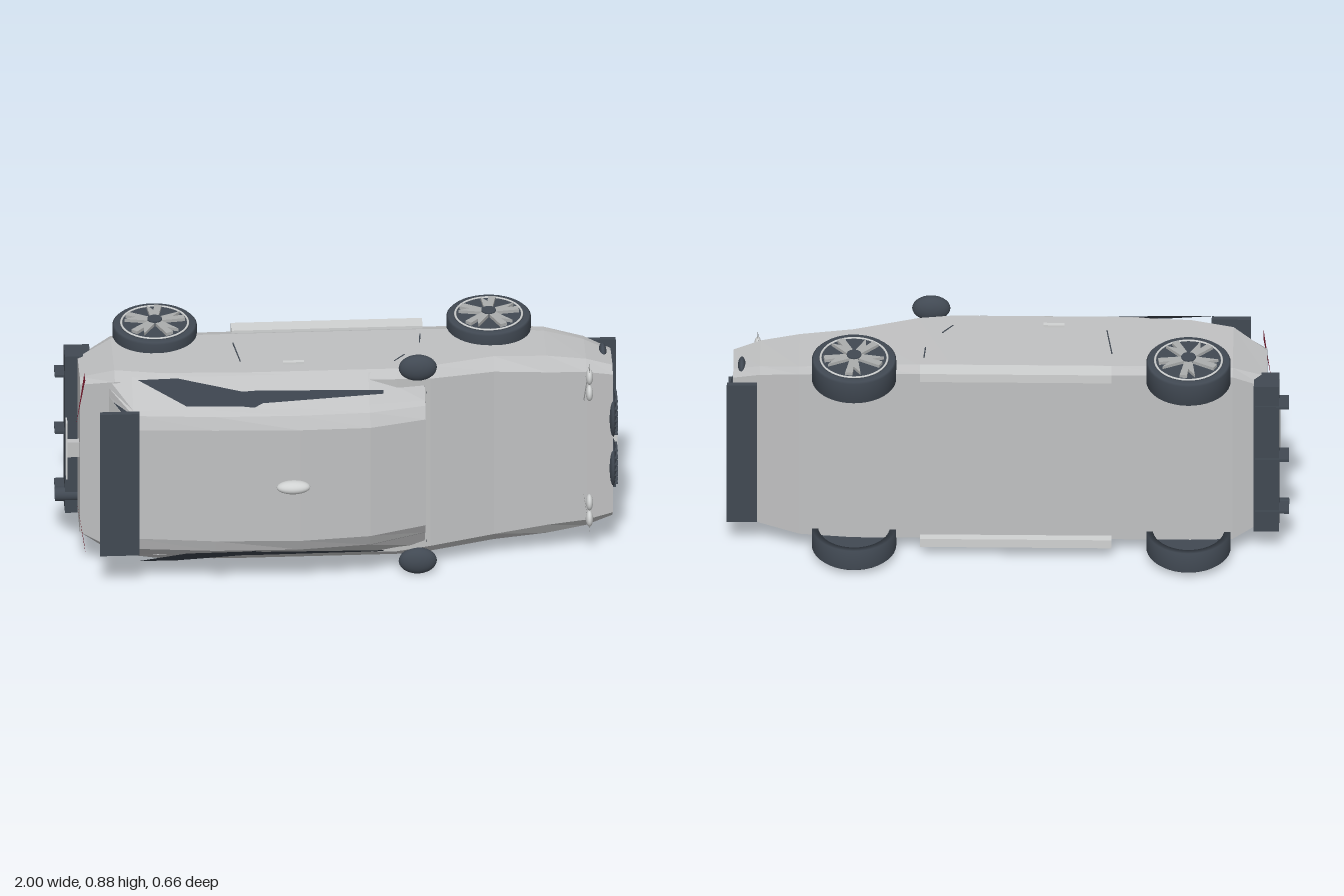
import * as THREE from 'three';

const mat = (name, color, extra = {}) => Object.assign(new THREE.MeshStandardMaterial({ color, ...extra }), { name });

// Loft along x from half sections [halfWidth, z], listed bottom to top and mirrored in y
function loft(stations) {
  const rings = stations.map(([x, pts]) => [
    ...pts.map(([w, z]) => [x, w, z]),
    ...pts.slice().reverse().map(([w, z]) => [x, -w, z]),
  ]);
  const n = rings[0].length, pos = [], idx = [];
  rings.forEach(r => r.forEach(p => pos.push(...p)));
  for (let i = 0; i < rings.length - 1; i++) {
    for (let j = 0; j < n; j++) {
      const a = i * n + j, a1 = i * n + (j + 1) % n;
      idx.push(a, a1, a1 + n, a, a1 + n, a + n);
    }
  }
  const last = (rings.length - 1) * n;
  for (let j = 1; j < n - 1; j++) {
    idx.push(0, j + 1, j);
    idx.push(last, last + j, last + j + 1);
  }
  const g = new THREE.BufferGeometry();
  g.setAttribute('position', new THREE.Float32BufferAttribute(pos, 3));
  g.setIndex(idx);
  const flat = g.toNonIndexed();
  flat.computeVertexNormals();
  return flat;
}

// Flat polygon through 3D points
function plate(points, outline) {
  const g = new THREE.BufferGeometry().setFromPoints(points.map(p => new THREE.Vector3(...p)));
  g.setIndex(THREE.ShapeUtils.triangulateShape(outline.map(p => new THREE.Vector2(...p)), []).flat());
  const flat = g.toNonIndexed();
  flat.computeVertexNormals();
  return flat;
}

export function createModel() {
  const paint = mat('body paint', 0xc0c1c2, { flatShading: true });
  const light = mat('light trim', 0xd0d2d2);
  const alloy = mat('wheel alloy', 0xabadad);
  const dark = mat('dark trim', 0x414953);
  const glass = mat('dark glass', 0x3a414b, { side: THREE.DoubleSide });
  const tyreMat = mat('tyre rubber', 0x414953, { side: THREE.DoubleSide });
  const red = mat('tail red', 0x8c2238, { side: THREE.DoubleSide });

  // The car lies on its side: nose +x, roof +z, width along y
  const car = new THREE.Group();
  car.name = 'car';
  car.position.y = 0.447;
  const add = (name, geo, m, x = 0, y = 0, z = 0, parent = car) => {
    const mesh = new THREE.Mesh(geo, m);
    mesh.name = name;
    mesh.position.set(x, y, z);
    parent.add(mesh);
    return mesh;
  };
  // Box from its limits
  const box = (name, m, x0, x1, y0, y1, z0, z1) =>
    add(name, new THREE.BoxGeometry(x1 - x0, y1 - y0, z1 - z0), m, (x0 + x1) / 2, (y0 + y1) / 2, (z0 + z1) / 2);
  const ellipsoid = (name, m, x, y, z, rx, ry, rz) =>
    add(name, new THREE.SphereGeometry(1, 24, 16), m, x, y, z).scale.set(rx, ry, rz);

  // Lower body: x, floor half width, floor z, side half width, shoulder z, deck half width, deck z
  const body = [
    [-0.92, 0.29, -0.17, 0.315, 0.02, 0.30, 0.05],
    [-0.80, 0.355, -0.20, 0.372, 0.08, 0.34, 0.11],
    [-0.65, 0.36, -0.20, 0.376, 0.115, 0.35, 0.14],
    [-0.35, 0.36, -0.20, 0.377, 0.13, 0.35, 0.152],
    [0.20, 0.36, -0.20, 0.377, 0.13, 0.35, 0.16],
    [0.32, 0.36, -0.20, 0.376, 0.115, 0.34, 0.145],
    [0.55, 0.36, -0.20, 0.372, 0.05, 0.33, 0.088],
    [0.74, 0.35, -0.195, 0.36, 0.035, 0.31, 0.067],
    [0.88, 0.325, -0.165, 0.338, 0.025, 0.30, 0.055],
    [0.975, 0.29, -0.135, 0.305, 0.015, 0.28, 0.042],
  ];
  add('body', loft(body.map(([x, wf, zf, ws, zs, wd, zd]) =>
    [x, [[wf, zf], [ws - 0.004, zf + 0.04], [ws, zs], [wd, zd]]])), paint);

  // Cabin and roof
  add('cabin', loft([
    [-0.82, [[0.34, 0.09], [0.31, 0.10], [0.28, 0.105], [0.22, 0.11]]],
    [-0.74, [[0.36, 0.11], [0.28, 0.215], [0.27, 0.235], [0.22, 0.25]]],
    [-0.45, [[0.37, 0.14], [0.285, 0.235], [0.272, 0.262], [0.225, 0.277]]],
    [-0.15, [[0.37, 0.14], [0.285, 0.235], [0.272, 0.268], [0.225, 0.29]]],
    [0.10, [[0.37, 0.14], [0.285, 0.225], [0.268, 0.252], [0.22, 0.277]]],
    [0.30, [[0.345, 0.13], [0.268, 0.175], [0.257, 0.192], [0.215, 0.217]]],
  ]), paint);
  ellipsoid('roofAntenna', light, -0.175, 0, 0.3, 0.06, 0.024, 0.03);

  // Rear wing
  box('rearWing', dark, -0.86, -0.72, -0.285, 0.29, 0.237, 0.257);

  // Nose fittings
  box('splitter', dark, 0.89, 0.997, -0.3, 0.3, -0.196, -0.178);
  box('lowerIntake', dark, 0.94, 0.984, -0.165, 0.172, -0.153, -0.09);
  box('frontPlate', light, 0.97, 0.995, -0.112, 0.118, -0.08, -0.027);

  // Rear fittings
  box('rearBumper', dark, -0.965, -0.875, -0.315, 0.32, -0.208, -0.12);
  box('rearPlate', light, -0.967, -0.962, -0.115, 0.113, -0.05, -0.004);
  box('rearPlateMount', paint, -0.962, -0.91, -0.03, 0.03, -0.04, -0.014);
  for (const y of [-0.228, 0, 0.23]) box('diffuserFin', dark, -1.0, -0.88, y - 0.005, y + 0.005, -0.213, -0.14);
  const pipe = add('exhaust', new THREE.CylinderGeometry(0.026, 0.026, 0.09, 20, 1, true), tyreMat, -0.955, -0.247, -0.14);
  pipe.rotation.z = Math.PI / 2;

  // One wheel, outer face along local +y
  const tyreGeo = new THREE.LatheGeometry(
    [[0.122, 0.043], [0.144, 0.043], [0.15, 0.037], [0.15, -0.045], [0.128, -0.045], [0.122, 0.043]]
      .map(p => new THREE.Vector2(...p)), 40);
  const spokeShape = new THREE.Shape([[-0.014, 0.02], [0.014, 0.02], [0.03, 0.104], [0.004, 0.108], [0, 0.07], [-0.024, 0.104]]
    .map(p => new THREE.Vector2(...p)));
  const spokeGeo = new THREE.ExtrudeGeometry(spokeShape, { depth: 0.012, bevelEnabled: false });
  spokeGeo.rotateX(-Math.PI / 2);
  const makeWheel = () => {
    const w = new THREE.Group();
    w.name = 'wheel';
    add('tyre', tyreGeo, tyreMat, 0, 0, 0, w);
    add('wheelDisc', new THREE.CylinderGeometry(0.124, 0.124, 0.02, 40), dark, 0, 0.036, 0, w);
    add('rimRing', new THREE.TorusGeometry(0.119, 0.004, 6, 40), light, 0, 0.046, 0, w).rotation.x = Math.PI / 2;
    for (let i = 0; i < 5; i++) add('spoke', spokeGeo, alloy, 0, 0.046, 0, w).rotation.y = i * Math.PI * 0.4;
    add('hub', new THREE.CylinderGeometry(0.026, 0.026, 0.022, 20), dark, 0, 0.052, 0, w);
    return w;
  };

  // Side window outline as [x, z], laid on the cabin slope
  const pane = [[-0.72, 0.15], [-0.58, 0.148], [-0.35, 0.19], [-0.3, 0.188], [0.15, 0.195],
    [0.15, 0.206], [-0.28, 0.224], [-0.31, 0.236], [-0.35, 0.232], [-0.55, 0.228]];
  const lamp = [[0.15, 0.068], [0.345, 0.05], [0.35, 0.11], [0.32, 0.1]];

  for (const s of [1, -1]) {
    const sideBox = (name, m, x0, x1, w0, w1, z0, z1) =>
      box(name, m, x0, x1, Math.min(s * w0, s * w1), Math.max(s * w0, s * w1), z0, z1);

    for (const x of [-0.643, 0.545]) {
      const w = makeWheel();
      w.position.set(x, s * 0.37, -0.182);
      if (s < 0) w.rotation.x = Math.PI;
      car.add(w);
    }
    sideBox('sideSkirt', light, -0.37, 0.31, 0.345, 0.38, -0.228, -0.17);
    sideBox('doorHandle', light, -0.2, -0.125, 0.37, 0.385, 0.065, 0.08);
    ellipsoid('doorMirror', dark, 0.275, s * 0.392, 0.155, 0.068, 0.05, 0.032);

    // Door seams
    for (const [x, z, tilt, len] of [[-0.36, -0.02, -0.14, 0.14], [0.295, -0.09, 0.08, 0.06], [0.215, 0.05, 0.7, 0.06]]) {
      add('doorSeam', new THREE.BoxGeometry(0.004, 0.006, len), dark, x, s * 0.3745, z).rotation.y = -tilt;
    }

    // Glass and windscreen corners
    add('sideWindow', plate(pane.map(([x, z]) => [x, s * (0.377 - (z - 0.14) * 0.89), z]), pane), glass);
    const corner = [[0.25, 0.2], [0.275, 0.2], [0.325, 0.16]];
    add('windscreenCorner', plate(corner.map(([w, z]) => [0.304, s * w, z]), corner), glass);

    // Wing strut
    const strut = [[-0.81, 0.12], [-0.74, 0.2], [-0.74, 0.24], [-0.77, 0.24]];
    add('wingStrut', plate(strut.map(([x, z]) => [x, s * 0.27, z]), strut), glass);

    // Twin oval grilles with slats
    ellipsoid('grille', dark, 0.975, s * 0.1, -0.005, 0.016, 0.094, 0.071);
    for (let i = -3; i <= 3; i++) {
      const h = 0.066 * Math.sqrt(1 - (i / 4) ** 2);
      box('grilleSlat', dark, 0.975, 0.993, s * 0.1 + i * 0.022 - 0.002, s * 0.1 + i * 0.022 + 0.002, -0.005 - h, -0.005 + h);
    }

    // Headlamps, brow and fog lamp
    ellipsoid('headlampOuter', light, 0.89, s * 0.288, 0.068, 0.013, 0.03, 0.026);
    ellipsoid('headlampInner', light, 0.89, s * 0.222, 0.068, 0.013, 0.03, 0.026);
    const brow = [[0.19, 0.055], [0.2, 0.085], [0.27, 0.075], [0.33, 0.095], [0.33, 0.05]];
    add('headlampBrow', plate(brow.map(([w, z]) => [0.88 + (w - 0.26) * 0.15, s * w, z]), brow),
      alloy).material.side = THREE.DoubleSide;
    ellipsoid('fogLamp', dark, 0.945, s * 0.305, -0.083, 0.014, 0.03, 0.038);

    // Tail lamps
    add('tailLamp', plate(lamp.map(([w, z]) => [-0.935 + (w - 0.15) * 0.15, s * w, z]), lamp), red);
  }

  const model = new THREE.Group();
  model.name = 'model';
  model.add(car);
  return model;
}
